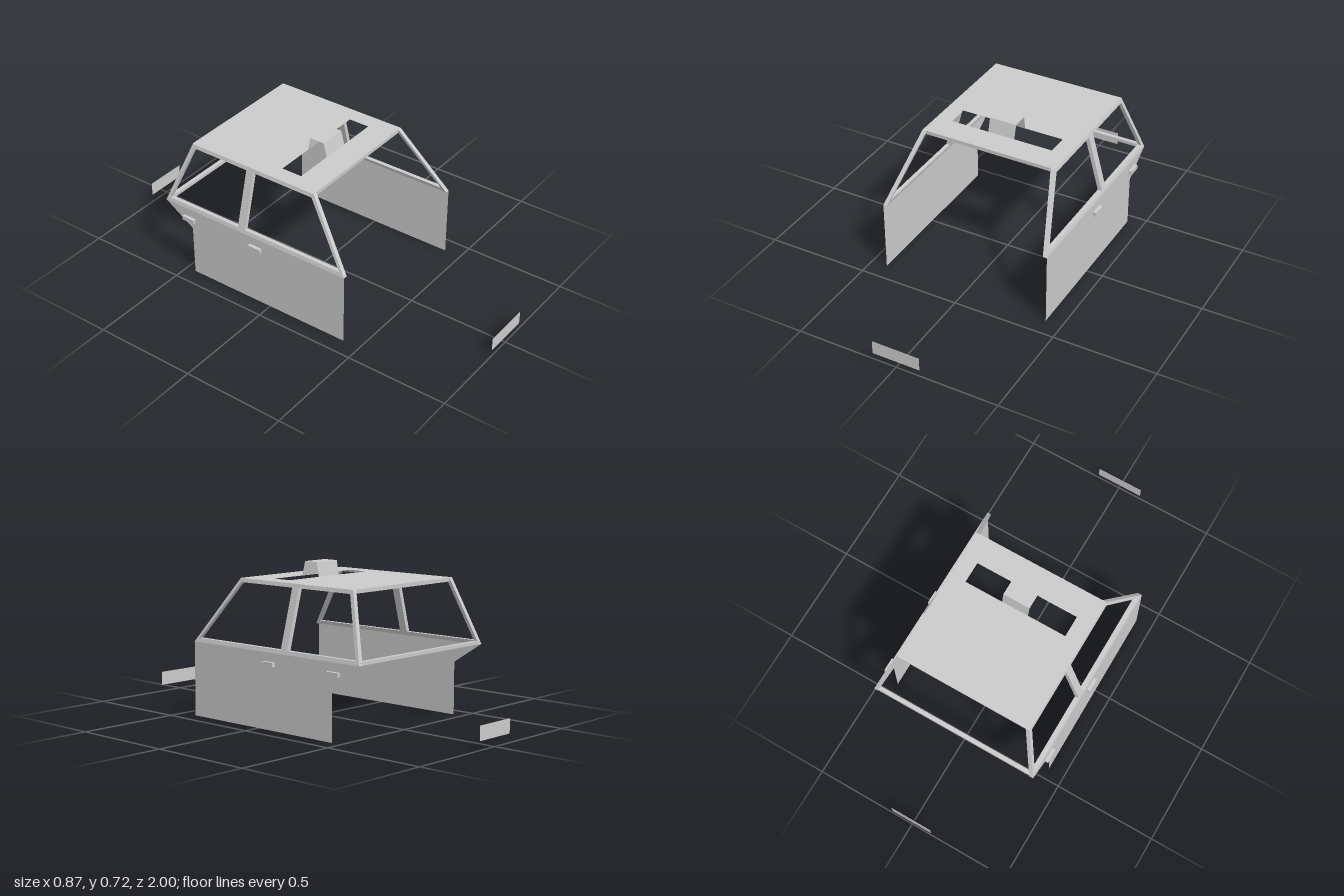
import * as THREE from 'three';

const material = new THREE.MeshStandardMaterial({ color: 0xcccccc, flatShading: true, side: THREE.DoubleSide });

// Key dimensions of the cab
const SILL = 0.35, ROOF = 0.655;          // heights of the window sill and roof
const HALF_SILL = 0.42, HALF_ROOF = 0.337; // half widths at those heights
const BAR = 0.02;                          // thickness of the frame bars
const LEAN = (HALF_SILL - HALF_ROOF) / (ROOF - SILL);

const toVectors = (points) => points.map(([a, b]) => new THREE.Vector2(a, b));

function addMesh(parent, name, geometry) {
  const mesh = new THREE.Mesh(geometry, material);
  mesh.name = name;
  parent.add(mesh);
  return mesh;
}

function addBox(parent, name, size, position) {
  addMesh(parent, name, new THREE.BoxGeometry(...size)).position.set(...position);
}

// Side profile (z, y) turned to lie in the plane x = 0
const turnToSide = (geometry) => geometry.rotateY(-Math.PI / 2);

// Window frame with two openings and the middle pillar, leaning in towards the roof
function windowFrameGeometry() {
  const shape = new THREE.Shape(toVectors([[0.415, SILL], [0.19, ROOF], [-0.495, ROOF], [-0.605, SILL]]));
  const openings = [
    [[0.385, 0.368], [-0.14, 0.368], [-0.14, 0.637], [0.182, 0.637]],
    [[-0.18, 0.368], [-0.58, 0.368], [-0.482, 0.637], [-0.18, 0.637]],
  ];
  openings.forEach((o) => shape.holes.push(new THREE.Path(toVectors(o))));
  const geometry = turnToSide(new THREE.ExtrudeGeometry(shape, { depth: BAR, bevelEnabled: false }));
  const p = geometry.attributes.position;
  for (let i = 0; i < p.count; i++) {
    p.setX(i, p.getX(i) + HALF_SILL - LEAN * (p.getY(i) - SILL));
  }
  geometry.computeVertexNormals();
  return geometry;
}

// One side: door panel, window frame and two handles
function createSide(name) {
  const side = new THREE.Group();
  side.name = name;
  const panel = new THREE.Shape(toVectors([
    [0.415, 0], [0.415, SILL], [-0.605, SILL], [-0.45, 0.25], [-0.45, 0],
  ]));
  addMesh(side, 'doorPanel', turnToSide(new THREE.ShapeGeometry(panel))).position.x = HALF_SILL;
  addMesh(side, 'windowFrame', windowFrameGeometry());
  for (const z of [-0.075, -0.463]) {
    addBox(side, 'doorHandle', [0.016, 0.02, 0.067], [0.429, 0.3, z]);
  }
  return side;
}

export function createModel() {
  const model = new THREE.Group();
  model.name = 'vehicleCab';

  // Mirrored sides
  const left = createSide('leftSide');
  const right = createSide('rightSide');
  right.scale.x = -1;
  model.add(left, right);

  // Roof sheet with the hatch opening
  const roof = new THREE.Shape(toVectors([
    [-HALF_ROOF, -0.19], [HALF_ROOF, -0.19], [HALF_ROOF, 0.497], [-HALF_ROOF, 0.497],
  ]));
  roof.holes.push(new THREE.Path(toVectors([[-0.257, -0.062], [-0.257, 0.042], [0.257, 0.042], [0.257, -0.062]])));
  addMesh(model, 'roof', new THREE.ShapeGeometry(roof).rotateX(-Math.PI / 2)).position.y = ROOF + 0.0005;

  // Cross bars joining the two sides
  addBox(model, 'frontRoofBar', [0.655, 0.018, BAR], [0, 0.646, 0.179]);
  addBox(model, 'rearRoofBar', [0.655, 0.018, BAR], [0, 0.646, -0.484]);
  addBox(model, 'rearSillBar', [0.82, 0.016, BAR], [0, 0.358, -0.593]);

  // Folded open-sided cover over the hatch
  const fold = [[0.062, ROOF], [0.045, 0.722], [-0.03, 0.722], [-0.042, ROOF]];
  const cover = new THREE.Group();
  cover.name = 'hatchCover';
  for (let i = 0; i < fold.length - 1; i++) {
    const [z0, y0] = fold[i], [z1, y1] = fold[i + 1];
    const sheet = new THREE.PlaneGeometry(0.134, Math.hypot(z1 - z0, y1 - y0));
    const panel = addMesh(cover, 'coverPanel', sheet);
    panel.position.set(0, (y0 + y1) / 2, (z0 + z1) / 2);
    panel.rotation.x = Math.atan2(z1 - z0, y1 - y0);
  }
  model.add(cover);

  // Free-standing number plates
  addMesh(model, 'frontPlate', new THREE.PlaneGeometry(0.237, 0.067)).position.set(0, 0.0645, 1);
  const rearPlate = addMesh(model, 'rearPlate', new THREE.PlaneGeometry(0.21, 0.067));
  rearPlate.position.set(0, 0.0735, -1);
  rearPlate.rotation.y = Math.PI;

  return model;
}
